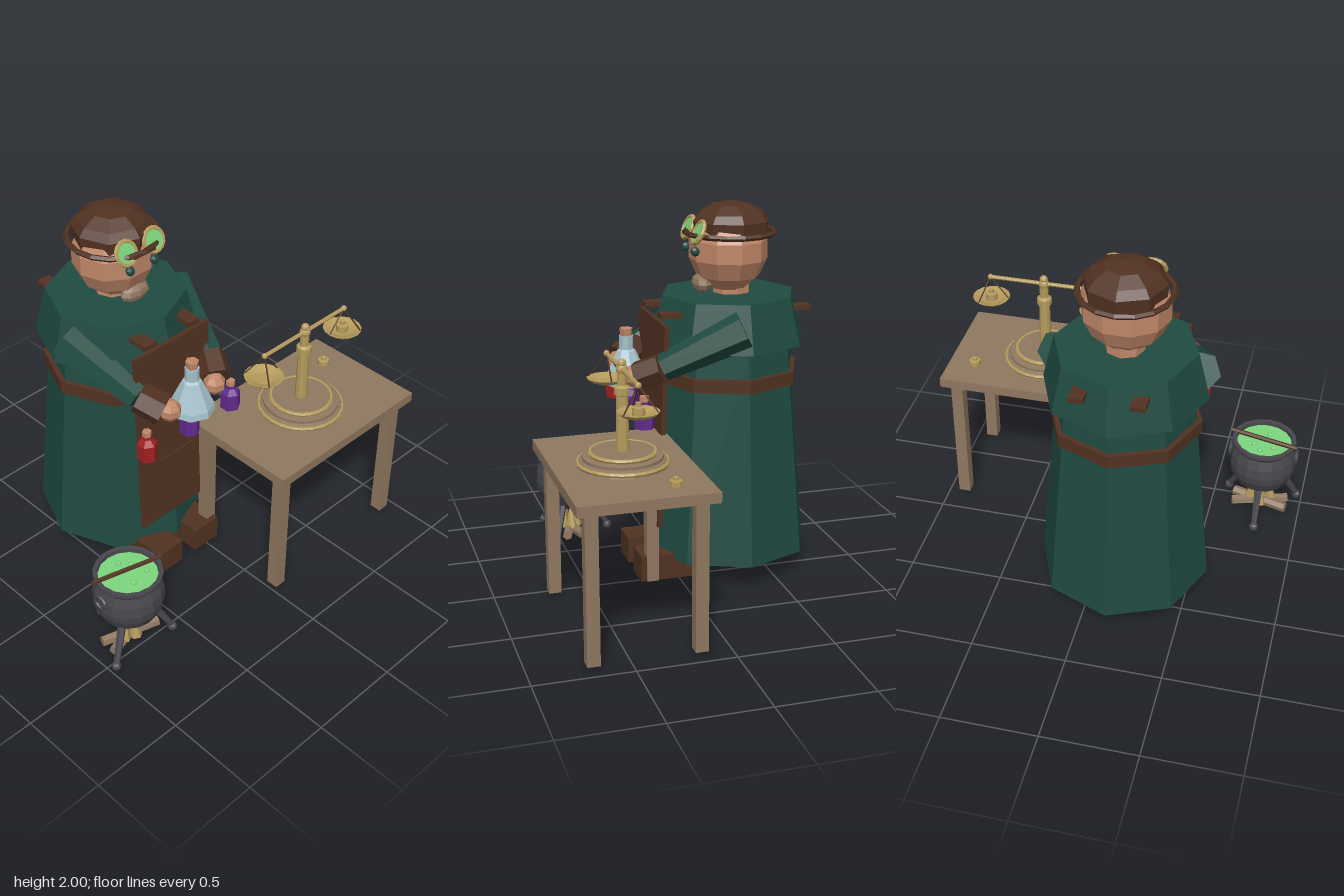
import * as THREE from 'three';

const mat = (name, color) => new THREE.MeshStandardMaterial({ name, color, flatShading: true });
const V = (x, y, z) => new THREE.Vector3(x, y, z);

export function createModel() {
  const robe = mat('robe green', 0x1f4b41), leather = mat('leather brown', 0x513222);
  const skin = mat('skin', 0xc08768), wood = mat('wood', 0x8f7860);
  const brass = mat('brass', 0xb59b5c), iron = mat('iron', 0x47474d);
  const potion = mat('potion green', 0x7bd67d), glass = mat('glass', 0xa6c2cc);
  const purple = mat('purple', 0x622a8c), red = mat('red', 0xa01f1f);

  const model = new THREE.Group();
  model.name = 'alchemistScene';
  const group = (name, x, y, z) => {
    const g = new THREE.Group();
    g.name = name;
    g.position.set(x, y, z);
    model.add(g);
    return g;
  };
  const add = (parent, name, geo, material, x = 0, y = 0, z = 0) => {
    const m = new THREE.Mesh(geo, material);
    m.name = name;
    m.position.set(x, y, z);
    parent.add(m);
    return m;
  };
  const box = (w, h, d) => new THREE.BoxGeometry(w, h, d);
  const ball = (r, w = 8, h = 6) => new THREE.SphereGeometry(r, w, h);
  const lathe = (pts, n) => new THREE.LatheGeometry(pts.map(p => new THREE.Vector2(...p)), n);
  // Tapered rod from a to b
  const rod = (parent, name, a, b, ra, rb, n, material) => {
    const dir = b.clone().sub(a), mid = a.clone().add(b).multiplyScalar(0.5);
    const m = add(parent, name, new THREE.CylinderGeometry(rb, ra, dir.length(), n), material, mid.x, mid.y, mid.z);
    m.quaternion.setFromUnitVectors(V(0, 1, 0), dir.normalize());
    return m;
  };

  // Robed figure
  const body = group('alchemist', -0.15, 0, -0.32);
  add(body, 'robe', new THREE.CylinderGeometry(0.35, 0.45, 1.14, 8), robe, 0, 0.7, 0);
  add(body, 'cape', new THREE.CylinderGeometry(0.36, 0.42, 0.25, 8), robe, 0, 1.395, 0);
  add(body, 'belt', new THREE.CylinderGeometry(0.39, 0.39, 0.07, 8), leather, 0, 1.095, 0);
  add(body, 'neck', new THREE.CylinderGeometry(0.1, 0.1, 0.1, 8), skin, 0, 1.55, -0.02);

  // Apron with pocket and shoulder straps
  const apron = add(body, 'apron', box(0.5, 1.08, 0.025), leather, 0, 0.87, 0.425);
  apron.rotation.x = -0.04;
  add(apron, 'pocket', box(0.225, 0.16, 0.012), leather, 0, -0.23, 0.016);
  for (const s of [-1, 1]) {
    add(body, 'frontStrap', box(0.075, 0.025, 0.12), leather, s * 0.148, 1.448, 0.358);
    add(body, 'backStrap', box(0.075, 0.025, 0.115), leather, s * 0.148, 1.448, -0.345);
  }

  // Head, cap, goggles and whiskers
  const head = group('head', -0.15, 0, -0.32);
  add(head, 'face', ball(0.227, 10, 7), skin, 0, 1.75, 0).scale.z = 0.92;
  add(head, 'cap', lathe([[0.2, 1.82], [0.207, 1.9], [0.175, 1.94], [0.105, 1.98], [0, 2]], 8), leather, 0, 0, -0.015);
  const brim = add(head, 'capBrim', new THREE.TorusGeometry(0.232, 0.015, 5, 16), leather, 0, 1.837, -0.01);
  brim.rotation.x = Math.PI / 2;
  add(head, 'whiskers', ball(0.09, 8, 6), wood, 0, 1.573, 0.145).scale.set(1, 0.55, 0.55);
  for (const s of [-1, 1]) {
    add(head, 'eye', ball(0.025, 6, 5), robe, s * 0.08, 1.755, 0.205);
    const goggle = new THREE.Group();
    goggle.name = 'goggle';
    goggle.position.set(s * 0.09, 1.855, 0.19);
    goggle.rotation.x = -0.42;
    head.add(goggle);
    add(goggle, 'goggleRim', new THREE.TorusGeometry(0.06, 0.012, 6, 14), brass);
    const lens = add(goggle, 'lens', new THREE.CylinderGeometry(0.055, 0.055, 0.012, 14), potion);
    lens.rotation.x = Math.PI / 2;
  }
  add(head, 'goggleBridge', box(0.14, 0.018, 0.016), leather, 0, 1.835, 0.222);

  // Arms, boots and ankles
  for (const s of [-1, 1]) {
    const shoulder = V(s * 0.36, 1.4, 0.03), wrist = V(s * 0.25, 1.2, 0.43), end = V(s * 0.185, 1.145, 0.54);
    rod(body, 'sleeve', shoulder, wrist, 0.105, 0.07, 6, robe);
    rod(body, 'cuff', wrist, end, 0.08, 0.085, 6, leather);
    add(body, 'hand', ball(0.06, 7, 5), skin, s * 0.155, 1.14, 0.56);
    add(body, 'boot', box(0.17, 0.14, 0.38), leather, s * 0.135, 0.09, 0.35);
    add(body, 'ankle', new THREE.CylinderGeometry(0.09, 0.09, 0.1, 8), iron, s * 0.11, 0.12, 0.01);
  }

  // Held flask
  const flask = group('flask', -0.15, 0, 0.235);
  add(flask, 'flaskGlass', lathe([[0, 1.065], [0.12, 1.065], [0.115, 1.1], [0.05, 1.24], [0.038, 1.25], [0.038, 1.32], [0, 1.32]], 8), glass);
  add(flask, 'flaskCork', new THREE.CylinderGeometry(0.035, 0.03, 0.05, 6), skin, 0, 1.335, 0);

  // Hanging potion bottles
  [[-0.445, red], [-0.15, purple], [0.145, purple]].forEach(([x, m]) => {
    const b = group('bottle', x, 0, 0.22);
    add(b, 'bottleGlass', lathe([[0, 0.905], [0.053, 0.905], [0.053, 1], [0.027, 1.03], [0.027, 1.045], [0, 1.045]], 6), m);
    add(b, 'bottleCork', new THREE.CylinderGeometry(0.024, 0.024, 0.03, 6), skin, 0, 1.058, 0);
  });

  // Table
  const table = group('table', 0.477, 0, 0.424);
  add(table, 'tableTop', box(1.015, 0.053, 0.685), wood, 0, 0.813, 0);
  for (const sx of [-1, 1]) for (const sz of [-1, 1])
    add(table, 'tableLeg', box(0.065, 0.77, 0.065), wood, sx * 0.431, 0.405, sz * 0.265);

  // Balance scale
  const scale = group('balanceScale', 0.475, 0, 0.42);
  add(scale, 'scaleBase', lathe([[0.225, 0.84], [0.215, 0.87], [0.2, 0.875], [0.2, 0.89], [0.165, 0.895], [0.16, 0.912], [0, 0.912]], 24), wood);
  for (const [r, y] of [[0.22, 0.857], [0.16, 0.905]])
    add(scale, 'baseRing', new THREE.TorusGeometry(r, 0.011, 6, 24), brass, 0, y, 0).rotation.x = Math.PI / 2;
  add(scale, 'column', lathe([[0.034, 0.91], [0.029, 1.19], [0.04, 1.195], [0.04, 1.23], [0.024, 1.24], [0.024, 1.33], [0, 1.335]], 10), brass);
  add(scale, 'finial', ball(0.023), brass, 0, 1.347, 0);
  rod(scale, 'beam', V(-0.3, 1.32, 0), V(0.3, 1.32, 0), 0.011, 0.011, 6, brass);
  add(scale, 'pivot', ball(0.03), brass, 0, 1.318, 0);
  for (const s of [-1, 1]) {
    add(scale, 'beamEnd', ball(0.016), brass, s * 0.3, 1.32, 0);
    add(scale, 'pan', lathe([[0, 1.165], [0.05, 1.167], [0.085, 1.18], [0.102, 1.197], [0.095, 1.197], [0.05, 1.18], [0, 1.178]], 16), brass, s * 0.3, 0, 0);
    for (let i = 0; i < 3; i++) {
      const a = i * Math.PI * 2 / 3 + (s > 0 ? Math.PI : 0);
      rod(scale, 'panString', V(s * 0.3, 1.32, 0), V(s * 0.3 + 0.098 * Math.cos(a), 1.195, 0.098 * Math.sin(a)), 0.004, 0.004, 4, leather);
    }
  }
  // Weights on the right-hand pan and on the table
  const weight = [[0, 0], [0.032, 0], [0.032, 0.03], [0.014, 0.033], [0.014, 0.048], [0, 0.05]];
  add(scale, 'panWeight', lathe(weight, 10), brass, 0.3, 1.18, 0).scale.y = 1.25;
  add(scale, 'tableWeight', lathe(weight, 10), brass, 0.365, 0.84, -0.16).scale.y = 0.9;

  // Cauldron
  const pot = group('cauldron', -0.775, 0, 0.425);
  add(pot, 'pot', lathe([[0, 0.17], [0.09, 0.18], [0.15, 0.225], [0.178, 0.285], [0.185, 0.33], [0.18, 0.39], [0.163, 0.445],
    [0.178, 0.465], [0.178, 0.485], [0.155, 0.485], [0.152, 0.44]], 16), iron);
  add(pot, 'brew', new THREE.CylinderGeometry(0.154, 0.154, 0.02, 16), potion, 0, 0.452, 0);
  for (const [x, z] of [[-0.058, -0.05], [0.012, -0.085], [0.053, -0.035], [-0.022, 0.065], [0.083, 0.05]])
    add(pot, 'bubble', ball(0.015, 7, 5), potion, x, 0.465, z);
  rod(pot, 'stirringStick', V(-0.19, 0.49, -0.055), V(0.19, 0.485, 0.04), 0.013, 0.013, 6, leather);
  for (const s of [-1, 1])
    add(pot, 'ringHandle', new THREE.TorusGeometry(0.037, 0.009, 6, 12), iron, s * 0.185, 0.39, 0).rotation.set(0, Math.PI / 2, 0);
  for (let i = 0; i < 3; i++) {
    const a = -Math.PI / 2 + i * Math.PI * 2 / 3, c = Math.cos(a), d = Math.sin(a);
    rod(pot, 'potLeg', V(0.12 * c, 0.21, 0.12 * d), V(0.225 * c, 0.03, 0.225 * d), 0.023, 0.016, 6, iron);
    add(pot, 'potFoot', ball(0.026), iron, 0.225 * c, 0.026, 0.225 * d);
  }

  // Fire: crossed logs and flames
  for (const s of [-1, 1])
    rod(pot, 'log', V(-0.15, 0.045, s * 0.045), V(0.155, 0.045, -s * 0.045), 0.028, 0.028, 6, wood);
  for (const [x, z] of [[-0.05, 0.02], [0.005, 0.04], [0.055, 0], [0, -0.04]])
    rod(pot, 'flame', V(x * 1.1, 0.045, z), V(x * 0.75, 0.195, z * 0.6), 0.034, 0.004, 6, brass);

  return model;
}
